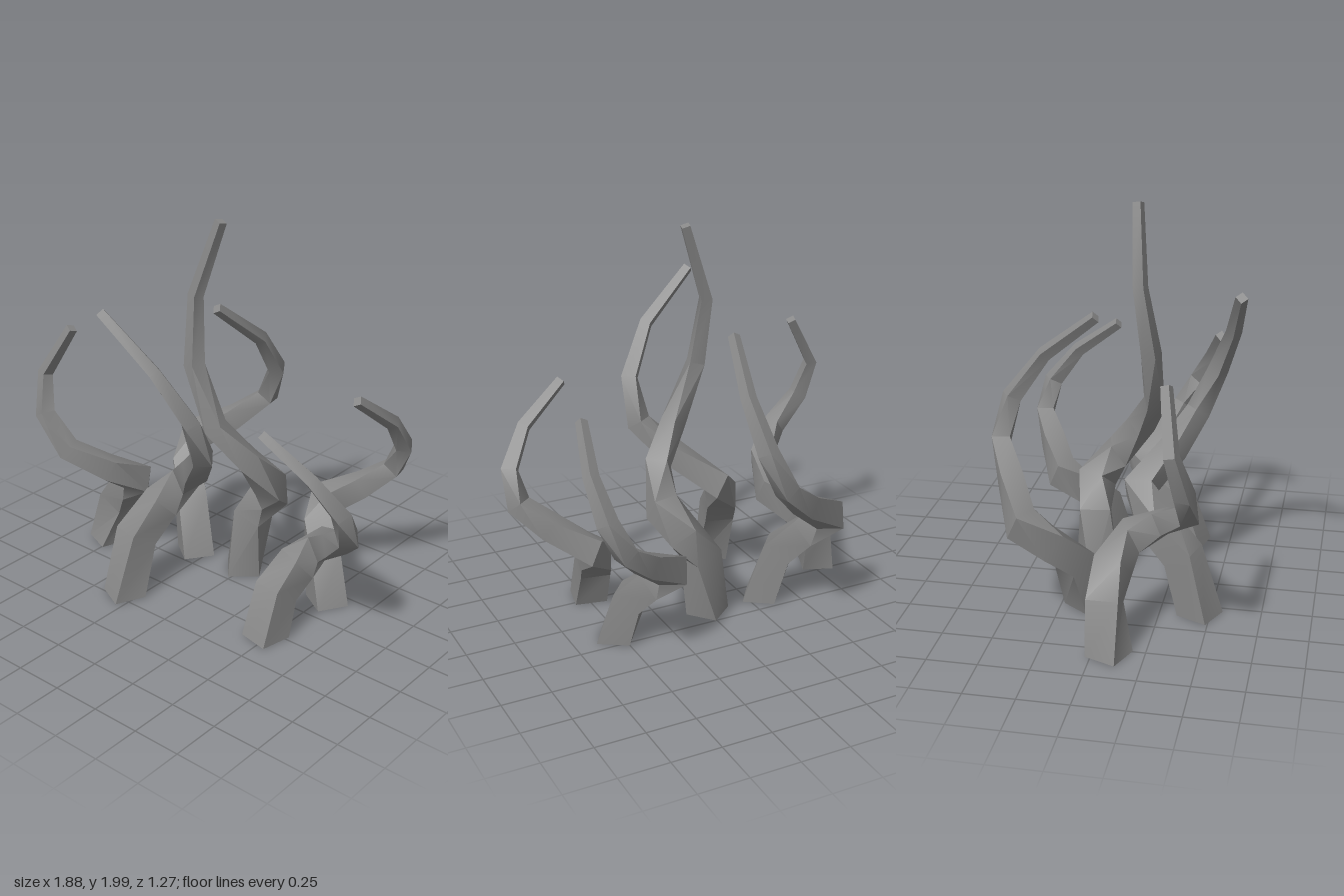
import * as THREE from 'three';
import { toCreasedNormals } from 'three/addons/utils/BufferGeometryUtils.js';

// Side length of the square section at each ring, root to tip
const WIDTHS = [0.165, 0.155, 0.148, 0.135, 0.11, 0.09, 0.076, 0.056, 0.042];

// Centre line shared by the four wide tentacles: x, y, z from the root
const SPIRAL = [
  [0, 0, 0], [0.01, 0.31, -0.09], [0.056, 0.46, -0.235], [0.142, 0.59, -0.335],
  [0.322, 0.74, -0.195], [0.47, 0.9, -0.089], [0.476, 1.12, 0.005],
  [0.336, 1.37, 0.095], [0.061, 1.62, 0.156],
];

// Centre lines of the two tighter tentacles, in place
const RIGHT = [
  [-0.79, 0, 0.08], [-0.735, 0.25, 0.05], [-0.625, 0.385, 0.07], [-0.512, 0.49, 0.135],
  [-0.56, 0.6, 0.3], [-0.71, 0.71, 0.435], [-0.865, 0.87, 0.44],
  [-0.905, 1.07, 0.385], [-0.745, 1.34, 0.335],
];
const CENTRE = [
  [-0.005, 0, -0.135], [0.045, 0.35, -0.155], [0.145, 0.49, -0.165], [0.222, 0.61, -0.07],
  [0.175, 0.79, 0.06], [0.045, 0.96, 0.15], [-0.085, 1.26, 0.155],
  [-0.115, 1.6, 0.105], [0.015, 1.985, 0.07],
];

// Turn, stretch and place the shared spiral
function placeSpiral(x, z, degrees, wide, tall) {
  const a = THREE.MathUtils.degToRad(degrees), c = Math.cos(a), s = Math.sin(a);
  return SPIRAL.map(([px, py, pz]) => [
    x + wide * (px * c - pz * s), py * tall, z + wide * (px * s + pz * c),
  ]);
}

// Tapered square tube through the points, with a mitred ring at each one
function tentacle(name, points, rootDegrees) {
  const p = points.map((q) => new THREE.Vector3(...q));
  const last = p.length - 1;
  const a = THREE.MathUtils.degToRad(rootDegrees);
  let u = new THREE.Vector3(Math.cos(a), 0, Math.sin(a));
  const positions = [], index = [];

  p.forEach((centre, i) => {
    const t = new THREE.Vector3(0, 1, 0);
    if (i > 0) {
      // Tangent halfway between the neighbouring segments
      t.subVectors(centre, p[i - 1]).normalize();
      if (i < last) t.add(p[i + 1].clone().sub(centre).normalize()).normalize();
      // The ring at the elbow stands more upright
      if (i === 3) t.setY(t.y * 0.5).normalize();
      // Lower rings keep one level edge, the tip carries it on
      if (i < 7) u = new THREE.Vector3(-t.z, 0, t.x).normalize();
      else u = u.clone().addScaledVector(t, -u.dot(t)).normalize();
    }
    const v = t.clone().cross(u);
    const h = WIDTHS[i] / 2;
    for (const [su, sv] of [[-1, -1], [1, -1], [1, 1], [-1, 1]]) {
      const corner = centre.clone().addScaledVector(u, su * h).addScaledVector(v, sv * h);
      positions.push(corner.x, corner.y, corner.z);
    }
  });

  for (let i = 0; i < last; i++) {
    for (let j = 0; j < 4; j++) {
      const b0 = i * 4 + j, b1 = i * 4 + ((j + 1) % 4);
      index.push(b0, b1, b1 + 4, b0, b1 + 4, b0 + 4);
    }
  }
  // Root and tip caps
  const e = last * 4;
  index.push(0, 2, 1, 0, 3, 2, e, e + 1, e + 2, e, e + 2, e + 3);

  const geometry = new THREE.BufferGeometry();
  geometry.setAttribute('position', new THREE.Float32BufferAttribute(positions, 3));
  geometry.setIndex(index);
  const mesh = new THREE.Mesh(
    toCreasedNormals(geometry, 0.6), new THREE.MeshStandardMaterial({ color: 0x888888 }));
  mesh.name = name;
  return mesh;
}

export function createModel() {
  const group = new THREE.Group();
  group.name = 'tentacles';

  // Four wide tentacles: root x, root z, turn, width scale, height scale, root angle
  const wide = [
    ['frontTentacle', -0.326, 0.449, 0, 1, 1, 25],
    ['frontLeftTentacle', 0.482, 0.29, -4, 0.86, 0.725, 12],
    ['backRightTentacle', -0.327, -0.119, -64, 1, 0.9, -54],
    ['backLeftTentacle', 0.527, -0.165, -64, 0.86, 0.725, -58],
  ];
  for (const [name, x, z, turn, w, t, root] of wide) {
    group.add(tentacle(name, placeSpiral(x, z, turn, w, t), root));
  }

  // Two tighter tentacles
  group.add(tentacle('rightTentacle', RIGHT, 112));
  group.add(tentacle('centreTentacle', CENTRE, 50));
  return group;
}
